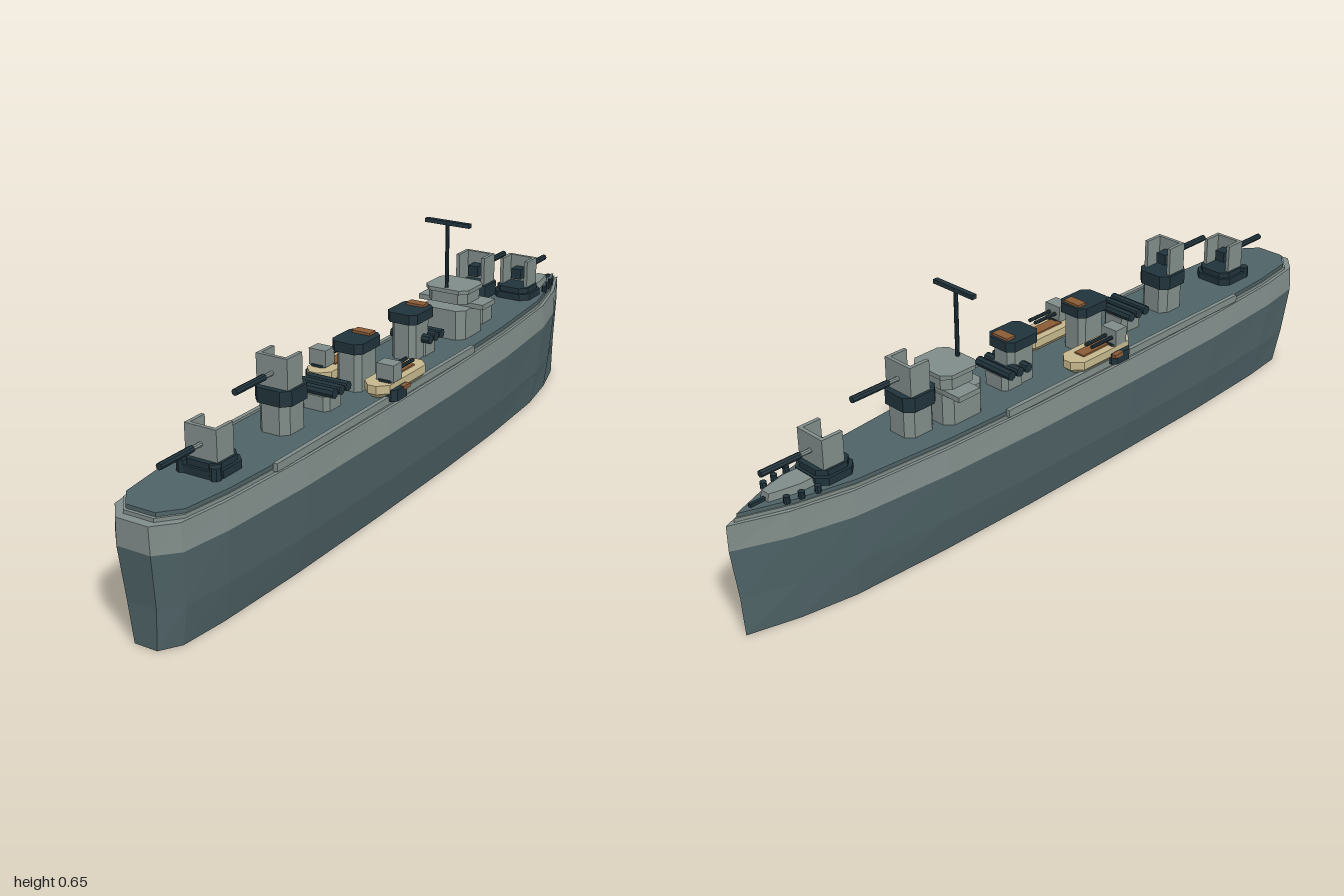
import * as THREE from 'three';

const mat = (name, color) => {
  const m = new THREE.MeshStandardMaterial({ color });
  m.name = name;
  m.flatShading = true;
  return m;
};

export function createModel() {
  const slate = mat('slate', 0x4f6367);
  const grey = mat('light grey', 0x808c89);
  const dark = mat('dark navy', 0x20333b);
  const tan = mat('tan', 0xc6b88d);
  const brown = mat('brown', 0x8a5a36);

  const ship = new THREE.Group();
  ship.name = 'warship';

  const add = (parent, name, geo, material, x = 0, y = 0, z = 0) => {
    const m = new THREE.Mesh(geo, material);
    m.name = name;
    m.position.set(x, y, z);
    parent.add(m);
    return m;
  };
  const box = (p, name, m, w, h, d, x, y, z) => add(p, name, new THREE.BoxGeometry(w, h, d), m, x, y, z);
  const rod = (p, name, m, r, len, axis, x, y, z) => {
    const g = new THREE.CylinderGeometry(r, r, len, 8);
    if (axis === 'z') g.rotateX(Math.PI / 2);
    if (axis === 'x') g.rotateZ(Math.PI / 2);
    return add(p, name, g, m, x, y, z);
  };

  // Stacks scaled copies of an [x, z] outline; levels are [y, scaleX, scaleZ]
  function loft(outline, levels) {
    const pos = [];
    const n = outline.length;
    const pt = (i, [y, sx, sz]) => [outline[i % n][0] * sx, y, outline[i % n][1] * sz];
    const low = levels[0], top = levels[levels.length - 1];
    for (let i = 0; i < n; i++) {
      for (let k = 0; k < levels.length - 1; k++) {
        const a = pt(i, levels[k]), b = pt(i + 1, levels[k]);
        const c = pt(i, levels[k + 1]), d = pt(i + 1, levels[k + 1]);
        pos.push(...b, ...a, ...c, ...b, ...c, ...d);
      }
      pos.push(0, low[0], 0, ...pt(i, low), ...pt(i + 1, low));
      pos.push(0, top[0], 0, ...pt(i + 1, top), ...pt(i, top));
    }
    const g = new THREE.BufferGeometry();
    g.setAttribute('position', new THREE.Float32BufferAttribute(pos, 3));
    g.computeVertexNormals();
    return g;
  }
  // Rectangle with cut corners, given half sizes
  const oct = (w, d, c) => [[c - w, -d], [w - c, -d], [w, c - d], [w, d - c],
    [w - c, d], [c - w, d], [-w, d - c], [-w, c - d]];
  const block = (p, name, m, w, d, c, y0, y1, x = 0, z = 0) =>
    add(p, name, loft(oct(w, d, c), [[y0, 1, 1], [y1, 1, 1]]), m, x, 0, z);

  // Hull: pointed bow at -z, cut-cornered stern at +z
  const side = [[0.055, -0.87], [0.094, -0.72], [0.118, -0.45], [0.129, -0.15], [0.131, 0.2],
    [0.127, 0.55], [0.112, 0.82], [0.093, 0.95], [0.046, 1]];
  const outline = [[0, -1], ...side, ...side.map(([x, z]) => [-x, z]).reverse()];
  add(ship, 'lowerHull', loft(outline, [[0, 0.68, 0.98], [0.105, 0.88, 0.985], [0.24, 1, 1]]), slate);
  add(ship, 'upperHullBand', loft(outline, [[0.24, 1, 1], [0.307, 0.955, 1]]), grey);
  add(ship, 'deckEdge', loft(outline, [[0.307, 0.89, 0.978], [0.316, 0.89, 0.978]]), grey);
  add(ship, 'deck', loft(outline, [[0.316, 0.87, 0.97], [0.326, 0.87, 0.97]]), slate);

  for (const s of [-1, 1]) {
    box(ship, 'sideRail', grey, 0.012, 0.02, 0.9, s * 0.113, 0.322, 0.2);
  }

  // Gun facing +z: U-shaped shield, breech and two-part barrel
  function gun(z, dir, raised) {
    const g = new THREE.Group();
    g.name = raised ? 'raisedGun' : 'deckGun';
    g.position.z = z;
    if (dir < 0) g.rotation.y = Math.PI;
    const y = raised ? 0.438 : 0.36;
    if (raised) {
      block(g, 'barbette', grey, 0.043, 0.045, 0.018, 0.326, 0.405);
      block(g, 'barbetteCollar', dark, 0.052, 0.051, 0.02, 0.4, y);
    } else {
      block(g, 'gunBase', dark, 0.058, 0.055, 0.022, 0.326, 0.345);
      block(g, 'gunPlatform', dark, 0.05, 0.048, 0.02, 0.345, y);
    }
    box(g, 'shieldFront', grey, 0.088, 0.077, 0.01, 0, y + 0.0385, 0.03);
    for (const s of [-1, 1]) box(g, 'shieldSide', grey, 0.01, 0.077, 0.06, s * 0.039, y + 0.0385, 0.005);
    box(g, 'breech', dark, 0.03, 0.03, 0.04, 0, y + 0.03, 0.01);
    rod(g, 'barrelSleeve', grey, 0.006, 0.04, 'z', 0, y + 0.035, 0.05);
    rod(g, 'barrel', dark, 0.0085, 0.11, 'z', 0, y + 0.035, 0.12);
    ship.add(g);
  }
  gun(0.73, 1, false);
  gun(0.465, 1, true);
  gun(-0.46, -1, true);
  gun(-0.725, -1, false);

  // Drums beside the aft gun
  for (const s of [-1, 1]) {
    rod(ship, 'deckDrum', dark, 0.014, 0.03, 'y', s * 0.046, 0.341, 0.775);
  }

  // Torpedo tubes lying across the deck
  for (const z of [0.3, -0.15]) {
    block(ship, 'tubeMount', grey, 0.04, 0.036, 0.012, 0.326, 0.364, 0, z);
    for (const k of [-1, 0, 1]) rod(ship, 'torpedoTube', dark, 0.013, 0.118, 'x', 0, 0.377, z + k * 0.029);
  }

  // Funnels with dark caps and a brown vent
  for (const z of [0.145, -0.115]) {
    block(ship, 'funnel', grey, 0.036, 0.045, 0.014, 0.326, 0.435, 0, z);
    block(ship, 'funnelCap', dark, 0.045, 0.055, 0.016, 0.428, 0.455, 0, z);
    box(ship, 'funnelVent', brown, 0.052, 0.009, 0.028, 0, 0.457, z - 0.034);
  }

  // Bridge with wings, top house and mast
  block(ship, 'bridgeHouse', grey, 0.066, 0.063, 0.02, 0.326, 0.408, 0, -0.338);
  box(ship, 'bridgeWings', grey, 0.2, 0.014, 0.07, 0, 0.413, -0.362);
  block(ship, 'bridgeTop', grey, 0.06, 0.053, 0.02, 0.42, 0.452, 0, -0.347);
  block(ship, 'bridgeRoof', grey, 0.066, 0.058, 0.02, 0.45, 0.461, 0, -0.347);
  rod(ship, 'mast', dark, 0.0055, 0.18, 'y', 0, 0.55, -0.305);
  box(ship, 'mastCrossbar', dark, 0.134, 0.011, 0.014, 0, 0.64, -0.308);

  // Boats and side guns amidships
  for (const s of [-1, 1]) {
    const x = s * 0.086;
    add(ship, 'boat', loft(oct(0.037, 0.11, 0.025), [[0.328, 0.7, 0.85], [0.342, 1, 1], [0.364, 1, 1]]),
      tan, x, 0, 0.1);
    box(ship, 'boatSeat', brown, 0.032, 0.008, 0.1, x, 0.364, 0.085);
    block(ship, 'sideGunBase', dark, 0.03, 0.034, 0.012, 0.32, 0.35, s * 0.107, 0.15);
    box(ship, 'sideGunTrim', brown, 0.012, 0.01, 0.03, s * 0.133, 0.346, 0.13);
    block(ship, 'sideGunPost', dark, 0.022, 0.024, 0.008, 0.35, 0.37, s * 0.1, 0.152);
    box(ship, 'sideGunShield', grey, 0.05, 0.044, 0.04, s * 0.1, 0.388, 0.152);
    for (const k of [-1, 1]) {
      rod(ship, 'sideGunBarrel', dark, 0.005, 0.08, 'z', s * 0.1 + k * 0.01, 0.387, 0.095);
    }
  }

  // Foredeck hatch, anchor gear and bollards
  add(ship, 'foredeckHatch', loft([[-0.014, -0.075], [0.014, -0.075], [0.032, 0], [0.032, 0.04],
    [-0.032, 0.04], [-0.032, 0]], [[0.326, 1, 1], [0.345, 0.9, 0.95]]), grey, 0, 0, -0.82);
  box(ship, 'anchorRail', dark, 0.008, 0.008, 0.07, 0, 0.33, -0.9);
  for (const s of [-1, 1]) {
    [-0.865, -0.83, -0.79].forEach((z, i) =>
      rod(ship, 'bollard', dark, 0.008, 0.018, 'y', s * (0.042 + i * 0.008), 0.333, z));
  }
  return ship;
}
